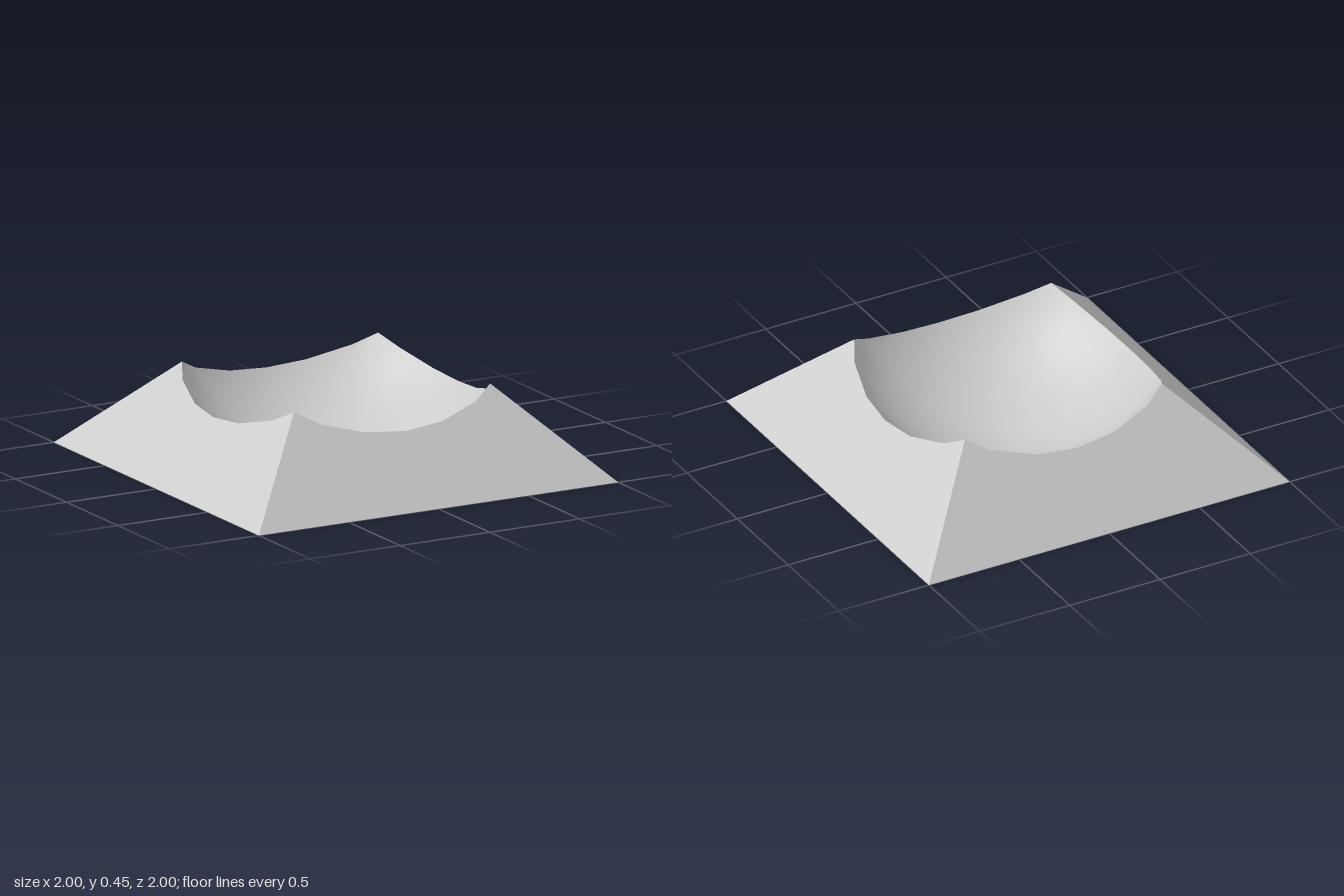
import * as THREE from 'three';

const SLOPE = 0.99;                    // rise of the sloping sides
const RADIUS = 0.913, CENTRE = 0.925;  // sphere that hollows out the bowl
const RINGS = 12;

// Rim of the bowl along the front side, from left corner to right corner
const half = [[0.214, 0.664], [0.436, 0.605], [0.546, 0.546]];
const rim = [...half.map(([x, z]) => [-x, z]).reverse(), [0, 0.681], ...half]
  .map(([x, z]) => new THREE.Vector3(x, SLOPE * (1 - z), z));

function surface(points, index) {
  const geometry = new THREE.BufferGeometry().setFromPoints(points);
  geometry.setIndex(index);
  geometry.computeVertexNormals();
  return geometry;
}

// One flat sloping side, a strip from the base edge up to the rim
function sideGeometry() {
  const points = [], index = [];
  rim.forEach((p, i) => {
    points.push(new THREE.Vector3(p.x / 0.546, 0, 1), p);
    const a = 2 * i;
    if (i < rim.length - 1) index.push(a, a + 2, a + 3, a, a + 3, a + 1);
  });
  return surface(points, index);
}

// Smooth hollow: rings on the sphere from the bottom point out to the rim
function bowlGeometry() {
  const up = new THREE.Vector3(0, 1, 0);
  const loop = [];
  for (let q = 0; q < 4; q++)
    for (const p of rim.slice(0, -1)) loop.push(p.clone().applyAxisAngle(up, q * Math.PI / 2));

  const n = loop.length;
  const points = [new THREE.Vector3(0, CENTRE - RADIUS, 0)], index = [];
  for (let j = 1; j <= RINGS; j++) {
    loop.forEach((p, i) => {
      const polar = Math.acos((CENTRE - p.y) / RADIUS), t = polar * j / RINGS;
      const s = Math.sin(t) / Math.sin(polar);
      points.push(new THREE.Vector3(p.x * s, CENTRE - RADIUS * Math.cos(t), p.z * s));
      const k = (i + 1) % n, outer = 1 + (j - 1) * n, inner = outer - n;
      if (j === 1) index.push(0, outer + i, outer + k);
      else index.push(outer + i, outer + k, inner + k, outer + i, inner + k, inner + i);
    });
  }
  return surface(points, index);
}

export function createModel() {
  const model = new THREE.Group();
  model.name = 'hollowedPyramid';
  const material = new THREE.MeshStandardMaterial({ color: 0xcccccc });
  const add = (name, geometry) => {
    const mesh = new THREE.Mesh(geometry, material);
    mesh.name = name;
    model.add(mesh);
    return mesh;
  };

  // Four sloping sides
  const side = sideGeometry();
  ['frontSide', 'leftSide', 'backSide', 'rightSide'].forEach((name, i) => {
    add(name, side).rotation.y = i * Math.PI / 2;
  });

  // Hollow in the top
  add('bowl', bowlGeometry());

  // Flat underside
  add('base', new THREE.PlaneGeometry(2, 2).rotateX(Math.PI / 2));

  return model;
}
